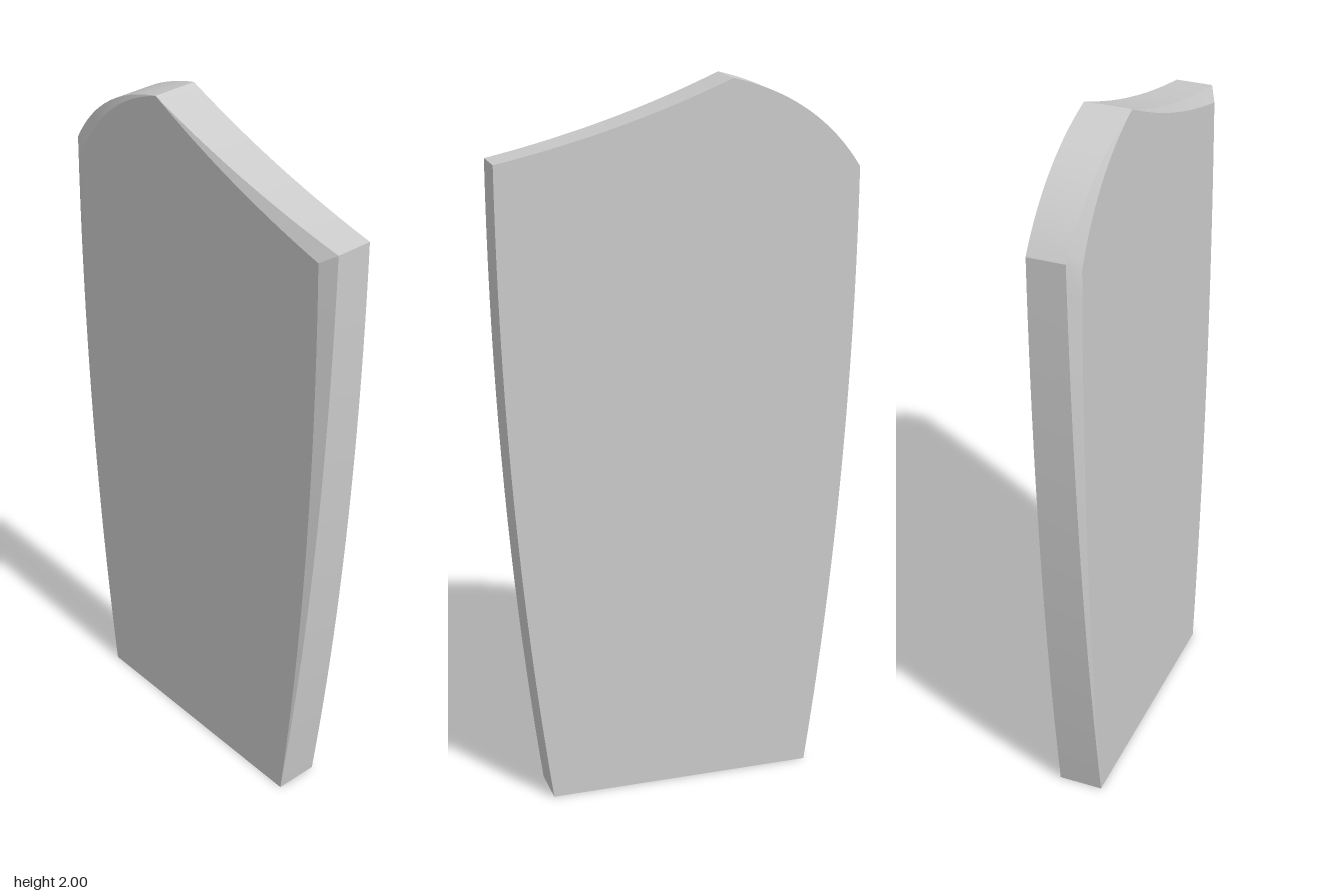
import * as THREE from 'three';
import { toCreasedNormals } from 'three/addons/utils/BufferGeometryUtils.js';

const HALF = 0.063; // half thickness
const STEPS = 20;

// Sample a curved edge; the bevel weight w runs linearly from w0 to w1
function edge(x0, y0, cx, cy, x1, y1, w0, w1) {
  const curve = new THREE.QuadraticBezierCurve(
    new THREE.Vector2(x0, y0), new THREE.Vector2(cx, cy), new THREE.Vector2(x1, y1));
  return curve.getPoints(STEPS).slice(0, -1).map((p, i) => ({
    x: p.x, y: p.y, w: w0 + (w1 - w0) * i / STEPS,
  }));
}

export function createModel() {
  // Outline, counter-clockwise from the front; the bevel is widest at the two upper corners
  const outline = [
    ...edge(0.378, 0, 0.502, 0.9, 0.5, 1.81, 0, 1),
    ...edge(0.5, 1.81, 0.16, 1.875, -0.14, 2, 1, 0),
    ...edge(-0.14, 2, -0.38, 1.94, -0.5, 1.75, 0, 1),
    ...edge(-0.5, 1.75, -0.502, 0.87, -0.378, 0, 1, 0),
    { x: -0.378, y: 0, w: 0 },
  ];

  // Rings: back edge, front edge of the rim, inset edge of the front face
  const rings = [
    outline.map(p => [p.x, p.y, -HALF]),
    outline.map(p => [p.x, p.y, HALF - 0.023 * p.w]),
    outline.map(p => [p.x - Math.sign(p.x) * Math.min(0.043 * p.w, Math.abs(p.x)), p.y - 0.03 * p.w, HALF]),
  ];
  // The inset top edge runs straight through the centre line
  rings[2].forEach((q, i) => {
    if (i > STEPS && i < 2 * STEPS) q[0] = outline[i].x - 0.043 * outline[i].w;
  });

  const pos = [];
  const tri = (a, b, c) => pos.push(...a, ...b, ...c);
  const n = outline.length;
  for (let i = 0; i < n; i++) {
    const j = (i + 1) % n;
    // Rim and bevel
    for (let r = 0; r < 2; r++) {
      tri(rings[r][i], rings[r][j], rings[r + 1][j]);
      tri(rings[r][i], rings[r + 1][j], rings[r + 1][i]);
    }
    // Flat back and front faces
    tri([0, 1, -HALF], rings[0][j], rings[0][i]);
    tri([0, 1, HALF], rings[2][i], rings[2][j]);
  }
  const geometry = new THREE.BufferGeometry();
  geometry.setAttribute('position', new THREE.Float32BufferAttribute(pos, 3));

  const panel = new THREE.Mesh(
    toCreasedNormals(geometry, 0.35),
    new THREE.MeshStandardMaterial({ color: 0xcccccc }));
  panel.name = 'bevelledPanel';

  const group = new THREE.Group();
  group.name = 'curvedSlab';
  group.add(panel);
  return group;
}
